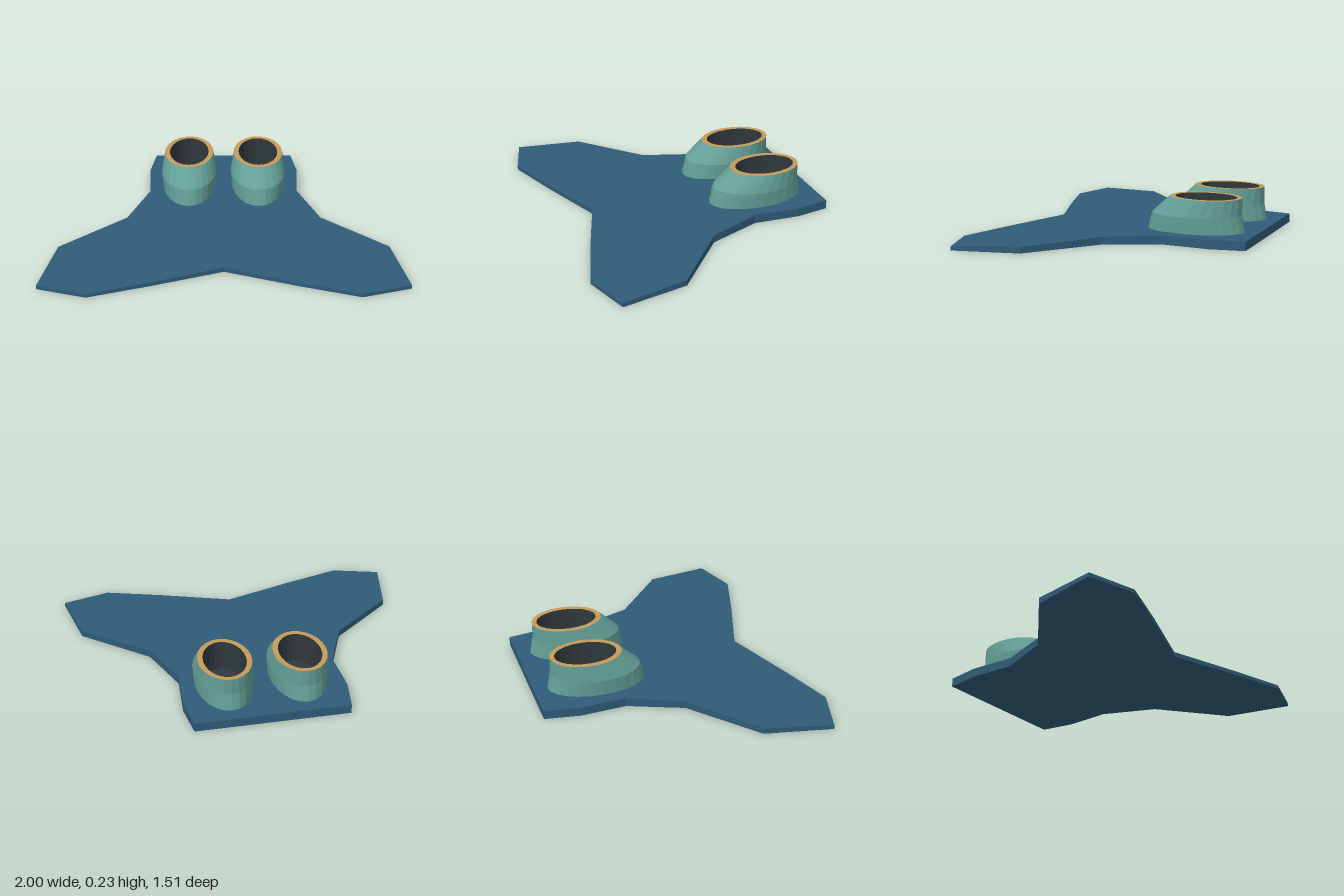
import * as THREE from 'three';

const paint = (color) => new THREE.MeshStandardMaterial({ color, flatShading: true });

// Skins a list of closed rings (arrays of Vector3), skipping collapsed triangles.
function loft(rings) {
  const pos = [];
  const tri = new THREE.Triangle();
  const add = (a, b, c) => {
    if (tri.set(a, b, c).getArea() < 1e-8) return;
    for (const p of [a, b, c]) pos.push(p.x, p.y, p.z);
  };
  for (let r = 0; r < rings.length - 1; r++) {
    const lo = rings[r], hi = rings[r + 1], n = lo.length;
    for (let i = 0; i < n; i++) {
      const j = (i + 1) % n;
      add(lo[i], hi[i], lo[j]);
      add(lo[j], hi[i], hi[j]);
    }
  }
  const geo = new THREE.BufferGeometry();
  geo.setAttribute('position', new THREE.Float32BufferAttribute(pos, 3));
  geo.computeVertexNormals();
  return geo;
}

function part(name, rings, material) {
  const mesh = new THREE.Mesh(loft(rings), material);
  mesh.name = name;
  return mesh;
}

// Horizontal ellipse ring: half-width, half-length, centre z, height.
function ellipse([rx, rz, z, y], sides = 24) {
  return Array.from({ length: sides }, (_, i) => {
    const a = (i / sides) * Math.PI * 2;
    return new THREE.Vector3(rx * Math.cos(a), y, z + rz * Math.sin(a));
  });
}

// Blade: each station is edge x, edge z, centreline z; it thins toward the tips.
function bladeRings() {
  const stations = [
    [0.425, -0.755, -0.755], [0.455, -0.56, -0.56], [0.44, -0.3, -0.3],
    [0.56, 0, 0], [0.925, 0.305, 0.2], [1, 0.675, 0.3],
    [0.73, 0.755, 0.4], [0.4, 0.65, 0.46], [0, 0.51, 0.51],
  ];
  const top = (z) => 0.05 - 0.0286 * Math.max(0, z + 0.3);
  const V = (x, y, z) => new THREE.Vector3(x, y, z);
  const rings = stations.map(([x, z, c]) => [
    V(-x, top(z), z), V(0, top(c), c), V(x, top(z), z),
    V(x, 0, z), V(0, 0, c), V(-x, 0, z),
  ]);
  // Collapsed first ring closes the rear edge.
  rings.unshift(rings[0].map(() => V(0, 0.025, -0.755)));
  return rings;
}

export function createModel() {
  const model = new THREE.Group();
  const blue = paint(0x2f5b78), teal = paint(0x639f97);
  const tan = paint(0xc49a5a), dark = paint(0x30383c);

  model.add(part('finBlade', bladeRings(), blue));

  // Pair of foot pockets, each a sloped shell with a flat rim and a dark well.
  const shell = [
    [0.157, 0.28, -0.402, 0.03],
    [0.165, 0.255, -0.405, 0.14],
    [0.147, 0.203, -0.457, 0.235],
  ];
  const rim = [shell[2], [0.117, 0.174, -0.459, 0.235]];
  const well = [rim[1], [0.117, 0.174, -0.459, 0.06], [0, 0, -0.459, 0.06]];
  for (const side of [1, -1]) {
    const pocket = new THREE.Group();
    pocket.name = side > 0 ? 'leftFootPocket' : 'rightFootPocket';
    pocket.add(
      part('pocketShell', shell.map((e) => ellipse(e)), teal),
      part('pocketRim', rim.map((e) => ellipse(e)), tan),
      part('pocketWell', well.map((e) => ellipse(e)), dark),
    );
    pocket.position.x = side * 0.208;
    model.add(pocket);
  }
  return model;
}
